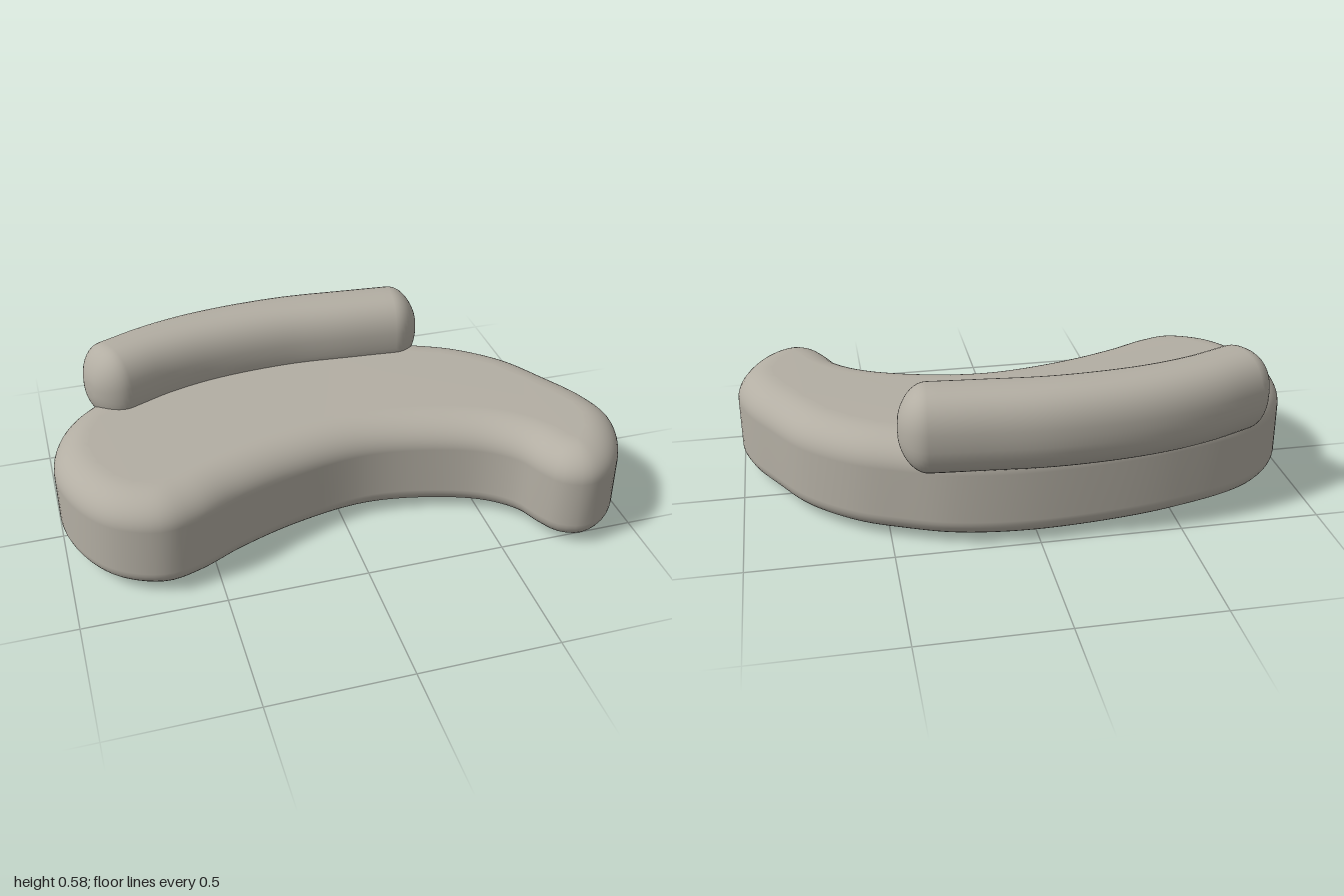
import * as THREE from 'three';

const v2 = ([x, z]) => new THREE.Vector3(x, 0, z);

// Joins equal-length rings into a smooth skin; capped ends are triangulated from their outline.
function loft(rings) {
  const n = rings[0].length, pos = [], idx = [];
  rings.forEach(r => r.forEach(p => pos.push(p.x, p.y, p.z)));
  for (let k = 0; k < rings.length - 1; k++) {
    for (let i = 0; i < n; i++) {
      const a = k * n + i, b = k * n + (i + 1) % n;
      idx.push(a, a + n, b, b, a + n, b + n);
    }
  }
  return { pos, idx, n };
}

function toGeometry({ pos, idx }) {
  const g = new THREE.BufferGeometry();
  g.setAttribute('position', new THREE.Float32BufferAttribute(pos, 3));
  g.setIndex(idx);
  g.computeVertexNormals();
  return g;
}

// Kidney-shaped seat: a plan outline inset along a rounded edge profile.
function seatGeometry() {
  const outline = [
    [-1, 0], [-0.945, -0.19], [-0.8, -0.335], [-0.5, -0.44], [-0.2, -0.488], [0.08, -0.497],
    [0.3, -0.465], [0.46, -0.405], [0.62, -0.325], [0.78, -0.185], [0.885, -0.02], [0.965, 0.13],
    [1, 0.28], [0.95, 0.44], [0.87, 0.535], [0.775, 0.57], [0.69, 0.535], [0.64, 0.46], [0.6, 0.375],
    [0.5, 0.29], [0.3, 0.218], [0.08, 0.19], [-0.18, 0.235], [-0.4, 0.312], [-0.56, 0.388],
    [-0.69, 0.415], [-0.85, 0.345], [-0.955, 0.2],
  ];
  const curve = new THREE.CatmullRomCurve3(outline.map(v2), true, 'centripetal');
  const pts = curve.getSpacedPoints(160).slice(0, 160);
  const n = pts.length;
  // Inward normals, smoothed over neighbouring points
  const inward = pts.map((p, i) => {
    const t = pts[(i + 3) % n].clone().sub(pts[(i + n - 3) % n]).normalize();
    return new THREE.Vector3(-t.z, 0, t.x);
  });

  // Edge profile as [inset, height], bottom to top
  const profile = [];
  for (let k = 0; k <= 8; k++) {
    const a = (k / 8) * Math.PI / 2;
    profile.push([0.075 * (1 - Math.sin(a)), 0.095 - 0.07 * Math.cos(a)]);
  }
  for (let k = 0; k <= 12; k++) {
    const a = (k / 12) * Math.PI / 2;
    profile.push([0.13 * (1 - Math.cos(a)), 0.275 + 0.11 * Math.sin(a)]);
  }
  const rings = profile.map(([d, y]) =>
    pts.map((p, i) => p.clone().addScaledVector(inward[i], d).setY(y)));
  const data = loft(rings);

  // Flat top and underside
  for (const [k, up] of [[0, false], [rings.length - 1, true]]) {
    const flat = rings[k].map(p => new THREE.Vector2(p.x, p.z));
    for (const [a, b, c] of THREE.ShapeUtils.triangulateShape(flat, [])) {
      const area = (flat[b].x - flat[a].x) * (flat[c].y - flat[a].y)
        - (flat[b].y - flat[a].y) * (flat[c].x - flat[a].x);
      const o = k * n;
      if ((area < 0) === up) data.idx.push(o + a, o + b, o + c);
      else data.idx.push(o + a, o + c, o + b);
    }
  }
  return toGeometry(data);
}

// Curved bolster: a soft oval swept along an arc, closing in at rounded ends.
function backrestGeometry() {
  const path = new THREE.CatmullRomCurve3([
    [-0.825, -0.262], [-0.7, -0.318], [-0.57, -0.372], [-0.37, -0.422],
    [-0.07, -0.446], [0.2, -0.428], [0.467, -0.405],
  ].map(v2));
  const length = path.getLength(), endRound = 0.1, steps = 12;
  const stations = [];
  for (let k = 0; k <= steps; k++) {
    const a = (k / steps) * Math.PI / 2;
    stations.push([endRound * (1 - Math.cos(a)), Math.max(0.002, Math.sin(a))]);
  }
  const far = stations.map(([s, r]) => [length - s, r]).reverse();
  for (let k = 1; k < 30; k++) {
    stations.push([endRound + (length - 2 * endRound) * k / 30, 1]);
  }
  stations.push(...far);

  const soft = v => Math.sign(v) * Math.abs(v) ** 0.85;
  const rings = stations.map(([s, r]) => {
    const u = Math.min(1, Math.max(0, s / length));
    const c = path.getPointAt(u), t = path.getTangentAt(u);
    const side = new THREE.Vector3(-t.z, 0, t.x);
    const grow = 0.35 + 0.65 * r; // blunt ends
    const scale = r < 0.01 ? r : grow * r ** 0.4;
    return Array.from({ length: 40 }, (_, i) => {
      const a = (i / 40) * Math.PI * 2;
      return c.clone().addScaledVector(side, 0.131 * scale * soft(Math.cos(a)))
        .setY(0.436 + 0.15 * scale * soft(Math.sin(a)));
    });
  });
  return toGeometry(loft(rings));
}

export function createModel() {
  const group = new THREE.Group();
  const fabric = new THREE.MeshStandardMaterial({ color: 0xb3aea3 });
  fabric.name = 'warm grey fabric';

  const add = (name, geometry) => {
    const mesh = new THREE.Mesh(geometry, fabric);
    mesh.name = name;
    group.add(mesh);
    return mesh;
  };

  add('seat', seatGeometry());
  add('backrest', backrestGeometry());

  // Small rounded feet
  const footProfile = [[0, 0], [0.014, 0.001], [0.02, 0.006], [0.022, 0.016], [0.025, 0.022], [0.025, 0.035]]
    .map(([r, y]) => new THREE.Vector2(r, y));
  const footGeometry = new THREE.LatheGeometry(footProfile, 20);
  for (const [x, z] of [[0.79, 0.33], [0.315, -0.275], [-0.66, 0.235], [-0.85, -0.11]]) {
    add('foot', footGeometry).position.set(x, 0.003, z);
  }
  return group;
}
